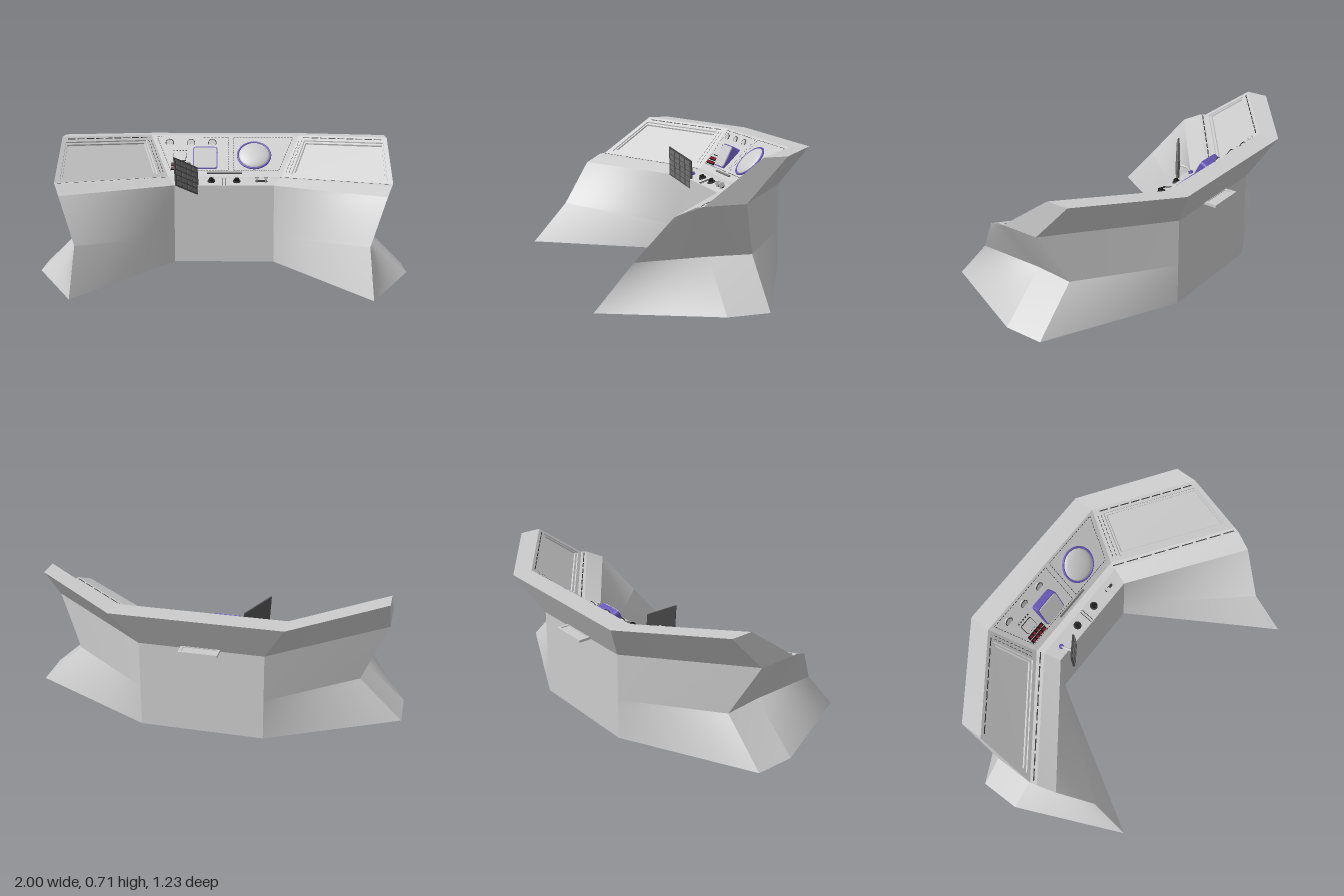
import * as THREE from 'three';
import { mergeGeometries } from 'three/addons/utils/BufferGeometryUtils.js';

const V = (x, y, z) => new THREE.Vector3(x, y, z);
const mat = (color, flat = false) => new THREE.MeshStandardMaterial({ color, flatShading: flat });
const grey = mat(0xcccccc, true), smooth = mat(0xcccccc), dark = mat(0x333333);
const black = mat(0x161616), purple = mat(0x6656b4), red = mat(0x8c1a2c);

// Flat-shaded geometry from convex polygons (counter-clockwise corners)
function polyGeo(polys) {
  const pos = [];
  for (const p of polys)
    for (let i = 1; i < p.length - 1; i++)
      for (const q of [p[0], p[i], p[i + 1]]) pos.push(q.x, q.y, q.z);
  const g = new THREE.BufferGeometry();
  g.setAttribute('position', new THREE.Float32BufferAttribute(pos, 3));
  g.computeVertexNormals();
  return g;
}

// Smooth twisted panels, each spanning four corners
function patchGeo(quads, N = 10) {
  return mergeGeometries(quads.map(([a, b, c, d]) => {
    const g = new THREE.PlaneGeometry(1, 1, N, N), p = g.attributes.position;
    for (let i = 0; i < p.count; i++) {
      const u = p.getX(i) + .5, v = p.getY(i) + .5;
      const q = a.clone().lerp(b, u).lerp(d.clone().lerp(c, u), v);
      p.setXYZ(i, q.x, q.y, q.z);
    }
    g.computeVertexNormals();
    return g;
  }));
}

const flip = p => V(-p.x, p.y, p.z);
const mirrored = polys => polys.map(p => p.map(flip).reverse());

function add(parent, name, geo, material, x = 0, y = 0, z = 0) {
  const m = new THREE.Mesh(geo, material);
  m.name = name;
  m.position.set(x, y, z);
  parent.add(m);
  return m;
}

// Thin dashes from a to b, lying on a surface with normal n
function dashes(a, b, n, count, width, fill = 0.65) {
  const side = b.clone().sub(a).cross(n).normalize().multiplyScalar(width / 2);
  const out = [], lift = n.clone().multiplyScalar(0.002);
  for (let i = 0; i < count; i++) {
    const p = a.clone().lerp(b, i / count).add(lift);
    const q = a.clone().lerp(b, (i + fill) / count).add(lift);
    out.push([p.clone().add(side), q.clone().add(side), q.clone().sub(side), p.clone().sub(side)].reverse());
  }
  return out.map(p => p.reverse());
}

// Disc-like parts that face local +z
const disc = (r0, r1, h, n = 24) => new THREE.CylinderGeometry(r1, r0, h, n).rotateX(Math.PI / 2);
const box = (w, h, d) => new THREE.BoxGeometry(w, h, d);

function roundedRect(w, h, r) {
  const s = new THREE.Shape(), x = w / 2, y = h / 2;
  s.moveTo(-x + r, -y);
  s.lineTo(x - r, -y).quadraticCurveTo(x, -y, x, -y + r);
  s.lineTo(x, y - r).quadraticCurveTo(x, y, x - r, y);
  s.lineTo(-x + r, y).quadraticCurveTo(-x, y, -x, y - r);
  s.lineTo(-x, -y + r).quadraticCurveTo(-x, -y, -x + r, -y);
  return s;
}
const plate = (w, h, r, d) =>
  new THREE.ExtrudeGeometry(roundedRect(w, h, r), { depth: d, bevelEnabled: false, curveSegments: 5 });

export function createModel() {
  const root = new THREE.Group();
  root.name = 'controlConsole';

  // Cross-sections, from the inner floor edge over the desk to the rear floor edge
  const S = [V(.28, 0, -.17), V(.28, .14, -.17), V(.28, .438, -.17), V(.31, .466, -.255), V(.325, .468, -.295),
    V(.435, .683, -.505), V(.435, .683, -.618), V(.322, .475, -.5), V(.322, .222, -.5), V(.322, 0, -.5)];
  const E = [V(.75, 0, .615), V(.75, .225, .42), V(.855, .452, .257), V(.89, .496, .165), V(.9, .5, .13),
    V(.9, .712, -.16), V(.9, .712, -.28), V(.9, .5, -.08), V(.77, .225, -.165), V(1, 0, -.165)];
  const M = V(.75, .225, .05), F = V(1, 0, .05);

  // Centre section
  const centre = [[flip(S[0]), flip(S[9]), S[9], S[0]]];
  for (let k = 0; k < 9; k++) centre.push([flip(S[k]), S[k], S[k + 1], flip(S[k + 1])]);
  add(root, 'centreBody', polyGeo(centre), grey);

  // Wing skins and end walls, plus floor and the small lip end
  const skin = [
    [E[4], E[7], E[6], E[5]], [M, E[8], E[7], E[4]], [E[1], M, E[4], E[2]],
    [F, E[9], E[8], M], [E[0], F, M, E[1]],
  ];
  for (let k = 0; k < 9; k++) if (k !== 4) skin.push([S[k], E[k], E[k + 1], S[k + 1]]);
  const caps = [[S[0], S[9], E[9], F, E[0]], [E[2], E[4], E[3]]];

  // Wing desk panel: u runs seam to end, v bottom to top, d is height above it
  const normal = (a, b, c) => b.clone().sub(a).cross(c.clone().sub(a)).normalize();
  const n = normal(S[4], E[4], S[5]);
  const P = (u, v, d = 0) => S[4].clone().lerp(E[4], u)
    .lerp(S[5].clone().lerp(E[5], u), v).addScaledVector(n, d);
  const loop = (u0, v0, u1, v1, d) => [P(u0, v0, d), P(u1, v0, d), P(u1, v1, d), P(u0, v1, d)];
  const loops = [loop(0, 0, 1, 1, 0), loop(.085, .07, .955, .88, 0),
    loop(.09, .08, .95, .87, -.006), loop(.105, .12, .935, .83, -.006), loop(.11, .13, .93, .82, -.014)];
  const panel = [];
  for (let i = 0; i < loops.length - 1; i++)
    for (let j = 0; j < 4; j++) {
      const k = (j + 1) % 4;
      panel.push([loops[i][j], loops[i][k], loops[i + 1][k], loops[i + 1][j]]);
    }

  // Dashed trim on the wing panel and the ledge below it
  const mid = (A, i) => A[i].clone().lerp(A[i + 1], .5);
  const trim = [
    ...dashes(P(.06, .94), P(.96, .94), n, 9, .006, .8),
    ...dashes(P(.03, .1), P(.03, .9), n, 10, .003),
    ...dashes(P(.06, .1), P(.06, .9), n, 10, .003),
    ...dashes(mid(S, 3), mid(E, 3), normal(S[3], E[3], S[4]), 9, .006, .8),
  ];
  for (const [part, polys, build, m] of [['WingSkin', skin, patchGeo, smooth], ['WingCaps', caps, polyGeo, grey],
    ['WingPanel', panel, polyGeo, grey], ['WingScreen', [loops[4]], polyGeo, grey], ['WingTrim', trim, polyGeo, dark]]) {
    add(root, 'left' + part, build(polys), m);
    add(root, 'right' + part, build(mirrored(polys)), m);
  }

  // Instruments on the sloping centre panel, local +z faces outward
  const inst = new THREE.Group();
  inst.name = 'instrumentPanel';
  inst.position.set(0, .5755, -.4);
  inst.rotation.x = -Math.PI / 4;
  root.add(inst);

  // Dashed outlines of the two halves
  const up = V(0, 0, 1), outlines = [];
  for (const [tl, tr, br, bl] of [[-.4, .02, .02, -.31], [.05, .4, .31, .05]]) {
    const c = [V(tl, .135, 0), V(tr, .135, 0), V(br, -.11, 0), V(bl, -.11, 0)];
    c.forEach((p, i) => outlines.push(...dashes(p, c[(i + 1) % 4], up, i % 2 ? 14 : 20, .003)));
  }
  add(inst, 'panelOutlines', polyGeo(outlines), dark);

  // Round scope
  add(inst, 'scopeRing', new THREE.TorusGeometry(.094, .006, 10, 40), purple, .17, 0, .004);
  add(inst, 'scopeDome', new THREE.SphereGeometry(.09, 32, 12, 0, Math.PI * 2, 0, Math.PI / 2)
    .rotateX(Math.PI / 2).scale(1, 1, .25), smooth, .17, 0, .002);

  // Round lamps along the top, tipped towards the operator
  for (const x of [-.325, -.2, -.075]) {
    const lamp = new THREE.Group();
    lamp.name = 'lamp';
    lamp.position.set(x, .09, .004);
    lamp.rotation.x = .45;
    inst.add(lamp);
    add(lamp, 'lampRing', new THREE.TorusGeometry(.022, .0025, 6, 24), dark);
    add(lamp, 'lampFace', disc(.021, .021, .02), smooth, 0, 0, -.008);
  }

  // Small display with indicator dots above and red keys below
  add(inst, 'smallDisplayFrame', plate(.075, .06, .008, .006), dark, -.262, -.012, 0);
  add(inst, 'smallDisplay', plate(.07, .055, .007, .009), smooth, -.262, -.012, 0);
  for (let i = 0; i < 5; i++) add(inst, 'indicator', box(.008, .008, .004), dark, -.298 + i * .018, .035, .001);
  for (let r = 0; r < 2; r++) {
    add(inst, 'keyStrip', box(.112, .02, .006), black, -.255, -.066 - r * .027, .002);
    for (let i = 0; i < 4; i++) add(inst, 'redKey', box(.018, .012, .008), red, -.294 + i * .026, -.066 - r * .027, .004);
  }
  add(inst, 'slot', box(.2, .01, .008), mat(0x777777), 0, -.125, .002);

  // Raised square monitor, steeper than the panel
  const monitor = new THREE.Group();
  monitor.name = 'monitor';
  monitor.position.set(-.113, .57, -.355);
  monitor.rotation.x = -Math.atan2(.06, .12);
  root.add(monitor);
  add(monitor, 'monitorCase', plate(.142, .134, .018, .09), purple, 0, 0, -.092);
  add(monitor, 'monitorScreen', plate(.13, .122, .014, .006), smooth, 0, 0, -.003);

  // Controls on the lip
  const lip = new THREE.Group();
  lip.name = 'lipControls';
  lip.position.set(0, .452, -.2125);
  lip.rotation.x = -Math.atan2(.085, .028);
  root.add(lip);
  for (const x of [-.073, .07]) {
    add(lip, 'knobBase', disc(.022, .02, .008), dark, x, .005, .004);
    add(lip, 'knob', disc(.016, .013, .02, 16), black, x, .005, .01);
  }
  for (const x of [-.008, .008]) add(lip, 'divider', box(.003, .08, .003), dark, x, 0, .001);
  for (const x of [.185, .235]) {
    add(lip, 'leverPost', box(.008, .03, .03), smooth, x, .005, .012);
    add(lip, 'leverGrip', box(.022, .012, .01), smooth, x, .005, .028);
  }
  add(lip, 'leverBase', box(.066, .014, .006), dark, .21, .005, .002);
  add(lip, 'armSocket', disc(.014, .012, .016, 16), purple, -.22, 0, .006);

  // Keypad on a short arm
  const pad = new THREE.Group();
  pad.name = 'keypad';
  root.add(pad);
  const basis = new THREE.Matrix4().makeBasis(V(.125, -.07, -.09), V(-.01, .16, 0), V(.58, 0, .81))
    .setPosition(-.21, .495, -.135);
  add(pad, 'keypadPlate', box(1, 1, .01).applyMatrix4(basis), mat(0x4a4a4a, true));
  const keys = [];
  for (let i = 0; i < 4; i++)
    for (let j = 0; j < 5; j++)
      keys.push(box(.18, .14, .006).translate(-.345 + i * .23, -.37 + j * .185, .007).applyMatrix4(basis));
  add(pad, 'keypadKeys', mergeGeometries(keys), mat(0x707070, true));
  const arm = new THREE.CatmullRomCurve3([V(-.22, .45, -.212), V(-.222, .475, -.19), V(-.212, .485, -.14)]);
  add(pad, 'keypadArm', new THREE.TubeGeometry(arm, 10, .006, 8), smooth);

  // Rear shelf: a rimmed plate
  const rim = roundedRect(.2, .075, .004);
  rim.holes.push(roundedRect(.17, .047, .004));
  const shelf = new THREE.Group();
  shelf.name = 'rearShelf';
  shelf.position.set(0, .475, -.5345);
  root.add(shelf);
  add(shelf, 'shelfRim', new THREE.ExtrudeGeometry(rim, { depth: .014, bevelEnabled: false }).rotateX(-Math.PI / 2), grey);
  add(shelf, 'shelfPlate', box(.172, .004, .049), grey, 0, .007, 0);

  return root;
}
